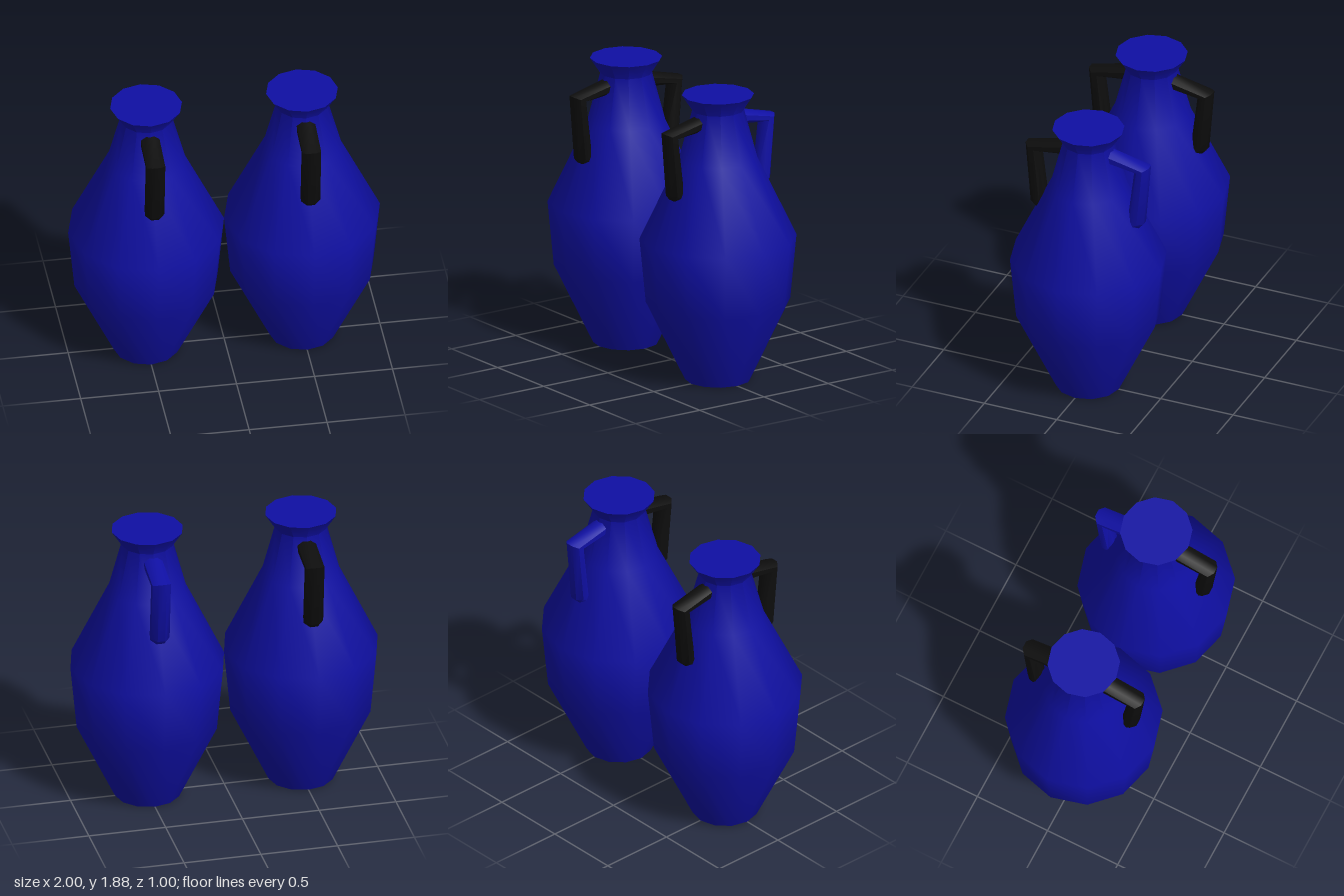
import * as THREE from 'three';
import { toCreasedNormals } from 'three/addons/utils/BufferGeometryUtils.js';

// Twelve-sided body, closed at the base and at the top of the lip
function bodyGeometry() {
  const profile = [
    [0, 0], [0.21, 0], [0.46, 0.52], [0.5, 0.94], [0.25, 1.46],
    [0.165, 1.78], [0.23, 1.88], [0, 1.88],
  ].map(([r, y]) => new THREE.Vector2(r, y));
  return toCreasedNormals(new THREE.LatheGeometry(profile, 12), 0.85);
}

// Eight-sided handle, lofted through mitred sections: outer z, y and inner z, y
function handleGeometry() {
  const sections = [
    [0.14, 1.76, 0.14, 1.665],
    [0.423, 1.69, 0.328, 1.647],
    [0.388, 1.27, 0.285, 1.30],
    [0.358, 1.238, 0.27, 1.31],
    [0.25, 1.235, 0.25, 1.32],
  ];
  const sides = 8, halfWidth = 0.06, scale = 1 / Math.cos(Math.PI / sides);
  const positions = [], index = [];
  sections.forEach(([oz, oy, iz, iy], i) => {
    for (let j = 0; j < sides; j++) {
      const a = ((j + 0.5) / sides) * Math.PI * 2;
      const c = 0.5 * Math.cos(a) * scale;
      positions.push(
        Math.sin(a) * halfWidth * scale,
        (oy + iy) / 2 + (oy - iy) * c,
        (oz + iz) / 2 + (oz - iz) * c
      );
      if (i < sections.length - 1) {
        const p = i * sides + j, q = i * sides + ((j + 1) % sides);
        index.push(p, p + sides, q, q, p + sides, q + sides);
      }
    }
  });
  const geometry = new THREE.BufferGeometry();
  geometry.setAttribute('position', new THREE.Float32BufferAttribute(positions, 3));
  geometry.setIndex(index);
  return toCreasedNormals(geometry, 0.85);
}

export function createModel() {
  const blue = new THREE.MeshStandardMaterial({ name: 'blueGlaze', color: 0x0f0fa3 });
  const black = new THREE.MeshStandardMaterial({ name: 'blackGlaze', color: 0x0d0d0d });
  const body = bodyGeometry(), handle = handleGeometry();
  const model = new THREE.Group();
  model.name = 'vasePair';

  // Two vases side by side; only the left one has a blue back handle
  for (const [name, x, backMaterial] of [['rightVase', -0.5, black], ['leftVase', 0.5, blue]]) {
    const vase = new THREE.Group();
    vase.name = name;
    vase.position.x = x;

    const bodyMesh = new THREE.Mesh(body, blue);
    bodyMesh.name = 'body';

    const front = new THREE.Mesh(handle, black);
    front.name = 'frontHandle';

    const back = new THREE.Mesh(handle, backMaterial);
    back.name = 'backHandle';
    back.rotation.y = Math.PI;

    vase.add(bodyMesh, front, back);
    model.add(vase);
  }
  return model;
}
